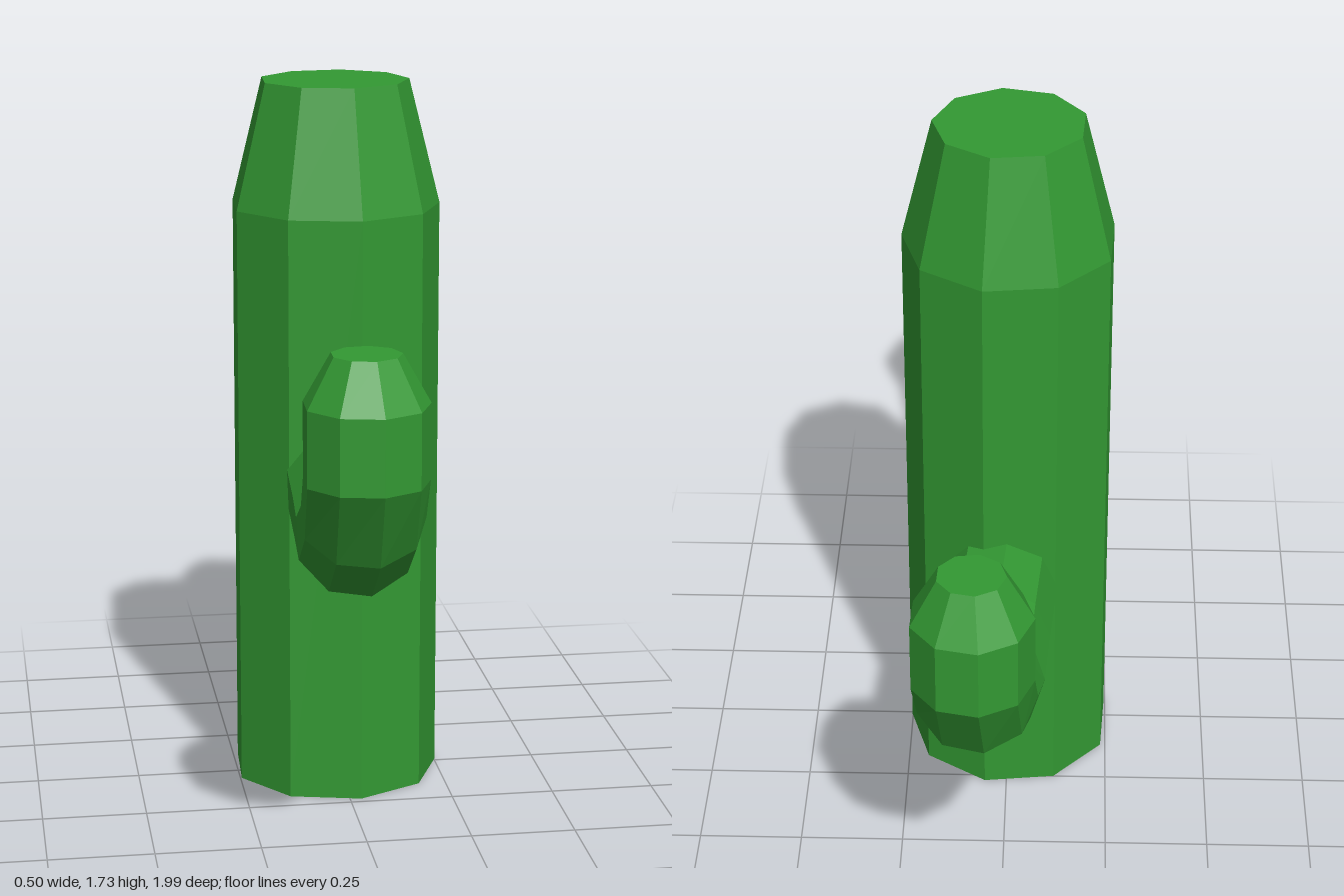
import * as THREE from 'three';

const SIDES = 9;
const rad = THREE.MathUtils.degToRad;

// Lofts nine-sided rings; each ring is [z, y, radius, heading in degrees above horizontal].
// The last ring is closed with a flat cap and the first is left open.
function loft(rings, startAngle) {
  const positions = [];
  const index = [];
  rings.forEach(([z, y, r, heading]) => {
    const t = rad(heading);
    for (let i = 0; i < SIDES; i++) {
      const a = rad(startAngle + (i * 360) / SIDES);
      const up = r * Math.sin(a);
      positions.push(r * Math.cos(a), y + up * Math.cos(t), z - up * Math.sin(t));
    }
  });
  for (let k = 0; k < rings.length - 1; k++) {
    for (let i = 0; i < SIDES; i++) {
      const a = k * SIDES + i;
      const b = k * SIDES + ((i + 1) % SIDES);
      index.push(a, b, b + SIDES, a, b + SIDES, a + SIDES);
    }
  }
  const last = (rings.length - 1) * SIDES;
  for (let i = 1; i < SIDES - 1; i++) index.push(last, last + i, last + i + 1);

  const indexed = new THREE.BufferGeometry();
  indexed.setAttribute('position', new THREE.Float32BufferAttribute(positions, 3));
  indexed.setIndex(index);
  const geometry = indexed.toNonIndexed();
  geometry.computeVertexNormals();
  return geometry;
}

export function createModel() {
  const group = new THREE.Group();
  group.name = 'cactus';
  const green = new THREE.MeshStandardMaterial({
    color: 0x339933, flatShading: true, side: THREE.DoubleSide,
  });

  // Trunk: straight prism with a tapered top, open underneath
  const trunk = new THREE.Mesh(loft([
    [0, 0, 0.255, 90],
    [0, 1.43, 0.255, 90],
    [0, 1.73, 0.18, 90],
  ], -3), green);
  trunk.name = 'trunk';
  trunk.position.set(-0.003, 0, -0.022);
  group.add(trunk);

  // Arms: one elbow shape, used at two heights on opposite sides
  const armGeometry = loft([
    [0.1, 0, 0.14, 0],
    [0.435, 0, 0.14, 0],
    [0.607, 0, 0.142, 26],
    [0.775, 0.085, 0.14, 56],
    [0.858, 0.195, 0.14, 90],
    [0.858, 0.365, 0.14, 90],
    [0.858, 0.475, 0.078, 90],
  ], 2);
  const tilt = -0.07;
  for (const [name, height, turn] of [['frontArm', 0.785, tilt], ['backArm', 0.59, Math.PI + tilt]]) {
    const arm = new THREE.Mesh(armGeometry, green);
    arm.name = name;
    arm.position.y = height;
    arm.rotation.y = turn;
    group.add(arm);
  }
  return group;
}
